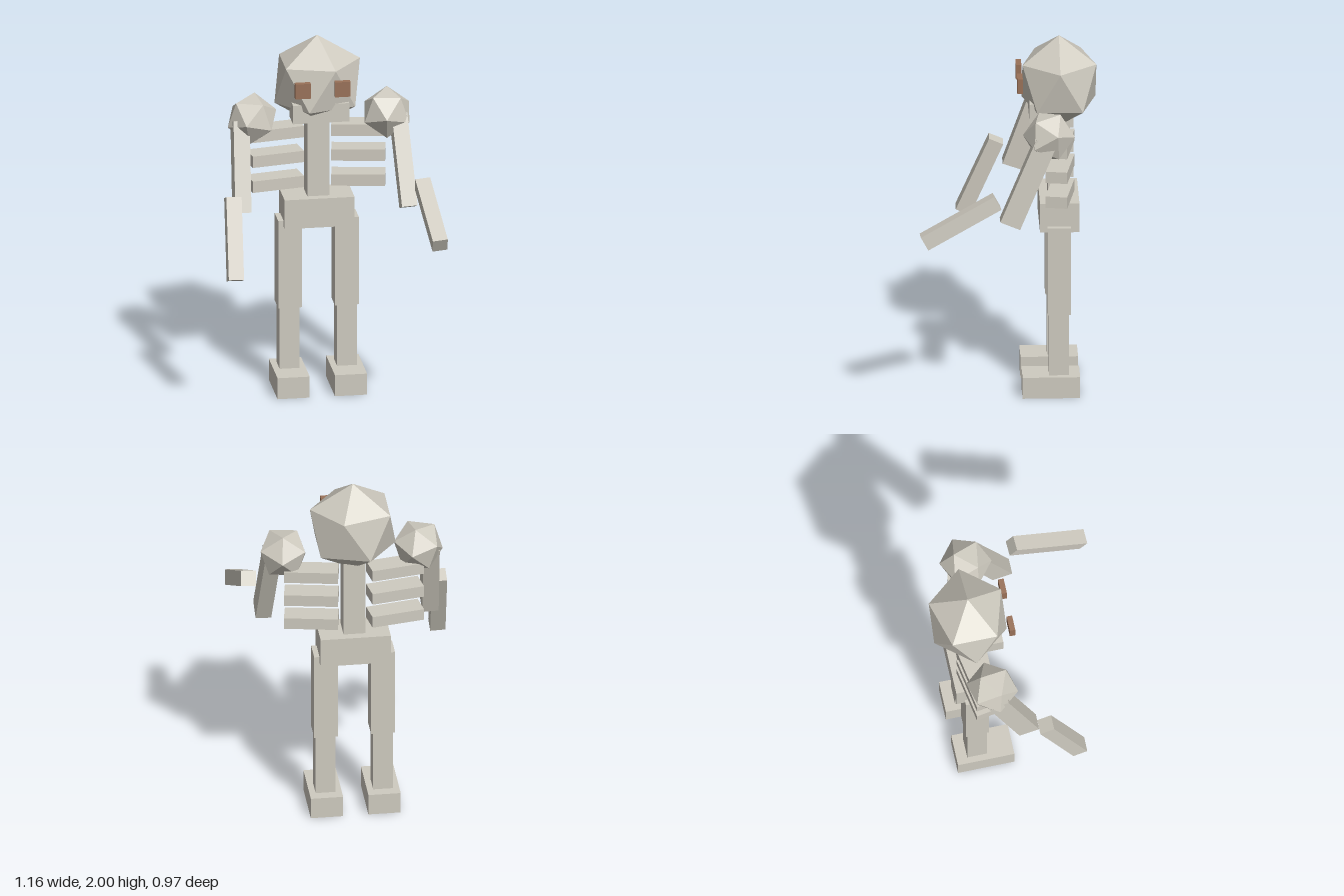
import * as THREE from 'three';

const bone = new THREE.MeshStandardMaterial({ color: 0xcfcbc0 });
bone.name = 'bone';
const eyeBrown = new THREE.MeshStandardMaterial({ color: 0x9a7259 });
eyeBrown.name = 'eye brown';

const MID = -0.02; // body midline in x
const BZ = -0.288; // body centre in z

export function createModel() {
  const model = new THREE.Group();
  model.name = 'skeleton';

  const add = (name, geometry, material = bone) => {
    const mesh = new THREE.Mesh(geometry, material);
    mesh.name = name;
    model.add(mesh);
    return mesh;
  };

  // Box given by its centre and size
  const box = (name, x, y, z, w, h, d, material) => {
    const mesh = add(name, new THREE.BoxGeometry(w, h, d), material);
    mesh.position.set(x, y, z);
    return mesh;
  };

  // Box running from point a to point b
  const limb = (name, a, b, w, d) => {
    const start = new THREE.Vector3(...a);
    const end = new THREE.Vector3(...b);
    const dir = end.clone().sub(start);
    const mesh = add(name, new THREE.BoxGeometry(w, dir.length(), d));
    mesh.position.copy(start).add(end).multiplyScalar(0.5);
    mesh.quaternion.setFromUnitVectors(new THREE.Vector3(0, -1, 0), dir.normalize());
  };

  // Icosahedron standing on a corner
  const ico = (r) => new THREE.IcosahedronGeometry(r, 0)
    .rotateZ(-Math.atan(2 / (1 + Math.sqrt(5))));

  // Head, jaw and eyes
  const skull = add('skull', ico(0.26).scale(1, 1, 0.9));
  skull.position.set(-0.017, 1.74, -0.29);
  box('jaw', MID, 1.607, -0.19, 0.306, 0.105, 0.125);

  // Trunk
  box('spine', MID, 1.325, BZ, 0.12, 0.45, 0.12);
  box('pelvis', MID, 1.018, BZ, 0.38, 0.165, 0.212);

  for (const [side, s] of [['left', 1], ['right', -1]]) {
    box(side + 'Eye', MID + s * 0.108, 1.763, -0.076, 0.084, 0.085, 0.03, eyeBrown);

    // Ribs swing forward at their outer ends
    [1.4625, 1.32, 1.177].forEach((y, i) => {
      const rib = box(side + 'Rib' + (i + 1), MID + s * 0.227, y, BZ, 0.29, 0.065, 0.118);
      rib.rotation.y = -s * 0.175;
    });

    // Legs
    box(side + 'Thigh', MID + s * 0.154, 0.72, -0.284, 0.13, 0.5, 0.127);
    box(side + 'Shin', MID + s * 0.156, 0.295, -0.284, 0.108, 0.35, 0.108);
    box(side + 'Foot', MID + s * 0.156, 0.06, -0.241, 0.175, 0.12, 0.31);
  }

  // Shoulders: a corner faces forward, turned slightly
  const shoulder = (name, x, y, z, yaw) => {
    const ball = ico(0.141).rotateX(Math.PI / 2).rotateZ(-Math.PI / 2).rotateY(yaw);
    add(name, ball).position.set(x, y, z);
  };
  shoulder('leftShoulder', 0.352, 1.562, -0.223, -0.145);
  shoulder('rightShoulder', -0.38, 1.562, -0.233, -0.36);

  // Arms, each posed differently
  limb('leftUpperArm', [0.41, 1.555, -0.205], [0.437, 1.092, -0.01], 0.085, 0.115);
  limb('leftForearm', [0.502, 1.248, 0.062], [0.538, 1.033, 0.456], 0.082, 0.083);
  limb('rightUpperArm', [-0.447, 1.555, -0.22], [-0.462, 1.09, -0.056], 0.088, 0.115);
  limb('rightForearm', [-0.524, 1.212, 0.03], [-0.538, 0.802, 0.209], 0.083, 0.083);

  return model;
}
